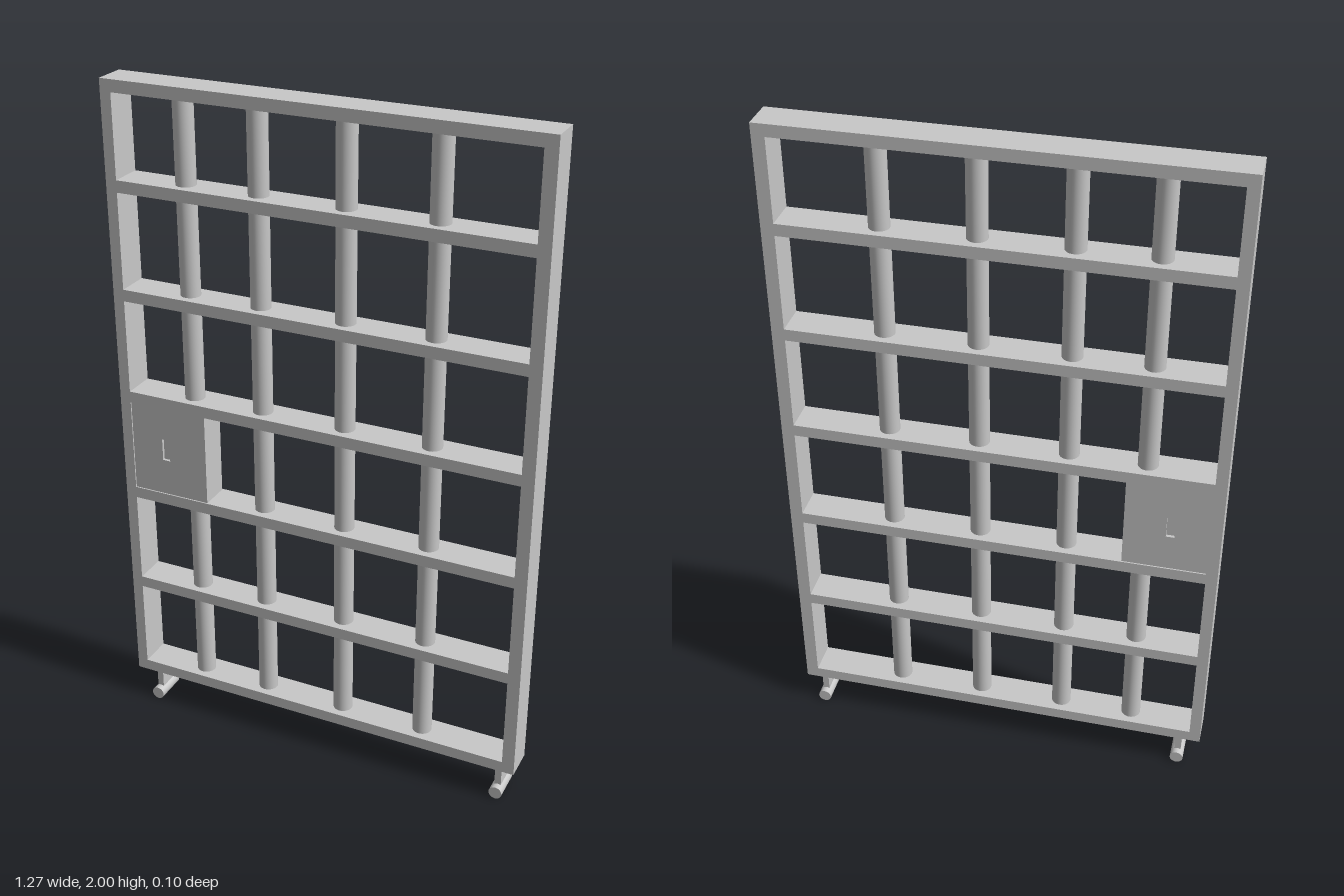
import * as THREE from 'three';

export function createModel() {
  const group = new THREE.Group();
  group.name = 'barredGate';
  const steel = new THREE.MeshStandardMaterial({ color: 0xc8c8c8 });
  steel.name = 'grey steel';

  const add = (name, geometry, x, y, z = 0, parent = group) => {
    const mesh = new THREE.Mesh(geometry, steel);
    mesh.name = name;
    mesh.position.set(x, y, z);
    parent.add(mesh);
    return mesh;
  };
  // Box given by its x and y limits, centred on z
  const slab = (name, x0, x1, y0, y1, depth, parent) =>
    add(name, new THREE.BoxGeometry(x1 - x0, y1 - y0, depth), (x0 + x1) / 2, (y0 + y1) / 2, 0, parent);

  // Outer frame
  const left = -0.6, right = 0.595, depth = 0.1;
  slab('rightPost', -0.633, left, 0.105, 2, depth);
  slab('leftPost', right, 0.632, 0.105, 2, depth);
  slab('bottomRail', left, right, 0.105, 0.14, depth);
  slab('topRail', left, right, 1.965, 2, depth);

  // Cross rails
  for (const y of [0.42, 0.738, 1.055, 1.372, 1.69]) slab('crossRail', left, right, y, y + 0.035, depth);

  // Round upright bars
  for (const x of [-0.41, -0.19, 0.065, 0.325]) {
    add('uprightBar', new THREE.CylinderGeometry(0.029, 0.029, 1.825, 32, 1, true), x, 1.0525);
  }

  // Lock box: a core with a face plate on each side, pierced by a keyhole
  const lock = new THREE.Group();
  lock.name = 'lockBox';
  group.add(lock);
  const x0 = -0.6, x1 = -0.358, y0 = 0.773, y1 = 1.055;
  slab('lockCore', x0, x1, y0, y1, 0.074, lock);
  const rectangle = (path, a, b, c, d) => path.moveTo(a, c).lineTo(b, c).lineTo(b, d).lineTo(a, d).closePath();
  const face = rectangle(new THREE.Shape(), x0, x1, y0, y1);
  face.holes.push(rectangle(new THREE.Path(), -0.502, -0.478, 0.885, 0.953));
  const plate = new THREE.ExtrudeGeometry(face, { depth: 0.009, bevelEnabled: false });
  add('frontLockPlate', plate, 0, 0, 0.037, lock);
  add('backLockPlate', plate, 0, 0, -0.046, lock);

  // Rollers on short stems
  for (const x of [-0.567, 0.58]) {
    slab('rollerStem', x - 0.01, x + 0.01, 0.025, 0.105, 0.06);
    add('roller', new THREE.CylinderGeometry(0.02, 0.02, depth, 24), x, 0.02).rotation.x = Math.PI / 2;
  }
  return group;
}
